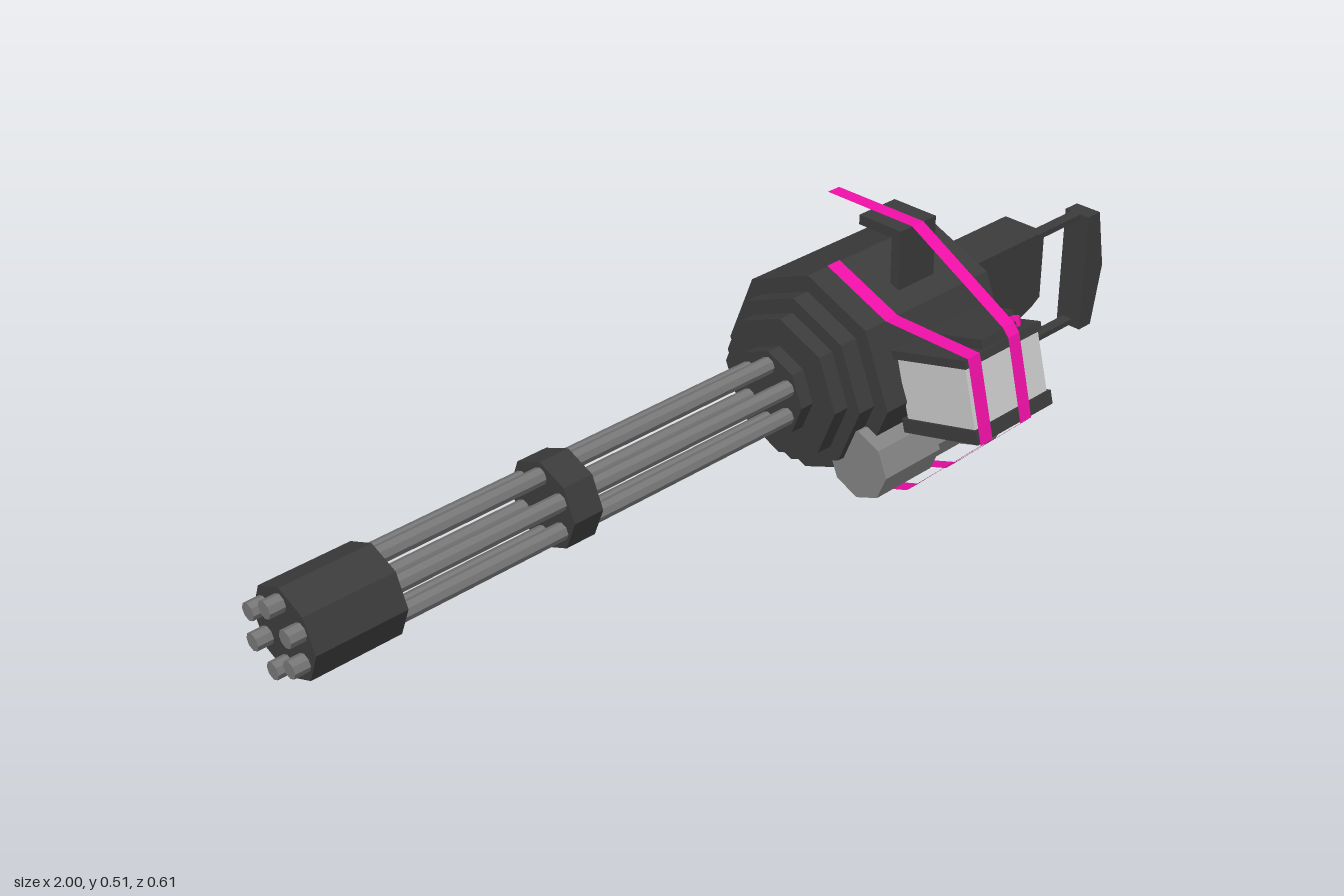
import * as THREE from 'three';

const mat = (color) => new THREE.MeshStandardMaterial({ color, flatShading: true, side: THREE.DoubleSide });

export function createModel() {
  const model = new THREE.Group();
  const dark = mat(0x3c3c3c), steel = mat(0x777777), mid = mat(0x848484), light = mat(0xcccccc), pink = mat(0xf010a8);

  const add = (name, geo, material, parent = model) => {
    const mesh = new THREE.Mesh(geo, material);
    mesh.name = name;
    parent.add(mesh);
    return mesh;
  };
  // octagonal prism lying along x
  const drum = (name, x0, x1, r, y, z, material) => {
    const geo = new THREE.CylinderGeometry(r, r, x1 - x0, 8).rotateZ(Math.PI / 2);
    return add(name, geo.translate((x0 + x1) / 2, y, z), material);
  };
  // box given by its extents
  const block = (name, [x0, x1], [y0, y1], [z0, z1], material, parent) => {
    const geo = new THREE.BoxGeometry(x1 - x0, y1 - y0, z1 - z0);
    return add(name, geo.translate((x0 + x1) / 2, (y0 + y1) / 2, (z0 + z1) / 2), material, parent);
  };
  // side outline in x and y, given a depth along z
  const slab = (name, pts, z0, z1, material) => {
    const shape = new THREE.Shape(pts.map(([x, y]) => new THREE.Vector2(x, y)));
    const geo = new THREE.ExtrudeGeometry(shape, { depth: z1 - z0, bevelEnabled: false });
    return add(name, geo.translate(0, 0, z0), material);
  };
  // thin ribbon following a path in z and y
  const ribbon = (name, x, width, path) => {
    const geo = new THREE.PlaneGeometry(width, 1, 1, path.length - 1);
    const pos = geo.attributes.position;
    path.forEach(([z, y], i) => {
      for (const k of [0, 1]) pos.setXYZ(2 * i + k, x + (k - 0.5) * width, y, z);
    });
    geo.computeVertexNormals();
    return add(name, geo, pink);
  };

  // stepped octagonal housing
  const cy = 0.216, cz = -0.09;
  drum('housing', 0.23, 0.58, 0.212, cy, cz, dark);
  drum('housingStep', 0.19, 0.23, 0.178, cy, cz, dark);
  drum('housingStep', 0.155, 0.19, 0.147, cy, cz, dark);
  drum('barrelCollar', 0.125, 0.155, 0.089, cy, cz, dark);

  // six barrels, with a middle ring and an end sleeve
  for (let i = 0; i < 6; i++) {
    const a = i * Math.PI / 3;
    drum('barrel', -1, 0.13, 0.017, cy + 0.06 * Math.cos(a), cz + 0.06 * Math.sin(a), steel);
  }
  drum('middleRing', -0.435, -0.37, 0.088, cy, cz, dark);
  drum('endSleeve', -0.97, -0.79, 0.088, cy, cz, dark);

  // motor under the housing
  drum('motor', 0.205, 0.36, 0.074, 0.09, 0.072, mid);
  drum('motorRear', 0.36, 0.515, 0.06, 0.09, 0.072, mid);
  drum('motorCap', 0.515, 0.55, 0.086, 0.089, 0.072, mid);

  // rear stock with a chamfered lower corner
  slab('stock', [[0.57, 0.355], [0.82, 0.355], [0.82, 0.205], [0.795, 0.19], [0.715, 0.16], [0.57, 0.16]], -0.09, 0.012, dark);
  // stirrup grip: bars and end plate
  slab('gripTopBar', [[0.8, 0.355], [0.95, 0.355], [0.95, 0.343], [0.8, 0.343]], -0.01, 0.014, dark);
  slab('gripLowerBar', [[0.71, 0.17], [0.79, 0.098], [0.95, 0.098], [0.95, 0.11], [0.8, 0.11], [0.735, 0.17]], -0.01, 0.014, dark);
  slab('gripEnd', [[0.937, 0.355], [0.975, 0.355], [1, 0.225], [0.975, 0.092], [0.937, 0.092]], -0.025, 0.035, dark);

  // top carrying handle
  block('handlePost', [0.37, 0.47], [0.37, 0.508], [-0.006, 0.016], dark);
  block('handleBar', [0.37, 0.47], [0.488, 0.508], [-0.09, 0.016], dark);

  // tilted ammunition box; its local origin is the outer lower edge
  const box = new THREE.Group();
  box.name = 'ammoBox';
  box.position.set(0.39, 0.2, 0.302);
  box.rotation.x = -Math.PI / 12;
  model.add(box);
  block('boxBody', [-0.105, 0.105], [0.02, 0.155], [-0.175, -0.006], light, box);
  block('boxBase', [-0.11, 0.11], [0, 0.028], [-0.186, 0], dark, box);
  block('boxTop', [-0.11, 0.11], [0.15, 0.167], [-0.195, 0], dark, box);
  block('boxLid', [-0.05, 0.05], [0.165, 0.186], [-0.149, -0.007], dark, box);
  block('boxLidRear', [0.05, 0.105], [0.165, 0.186], [-0.149, -0.06], dark, box);
  const knob = new THREE.CylinderGeometry(0.01, 0.01, 0.02, 8);
  add('lidKnob', knob.translate(0.076, 0.175, -0.032), pink, box);

  // straps wrapping box and motor, one starting on the housing, one on the handle
  const under = [[0.264, 0.366], [0.298, 0.232], [0.306, 0.2], [0.157, 0.05], [0.132, 0.024], [0.07, 0.001], [-0.09, 0.002]];
  ribbon('frontStrap', 0.3, 0.034, [[-0.09, 0.43], [0.062, 0.368], ...under]);
  ribbon('rearStrap', 0.414, 0.032, [[-0.2, 0.511], [0.019, 0.511], [0.25, 0.382], ...under]);

  return model;
}
